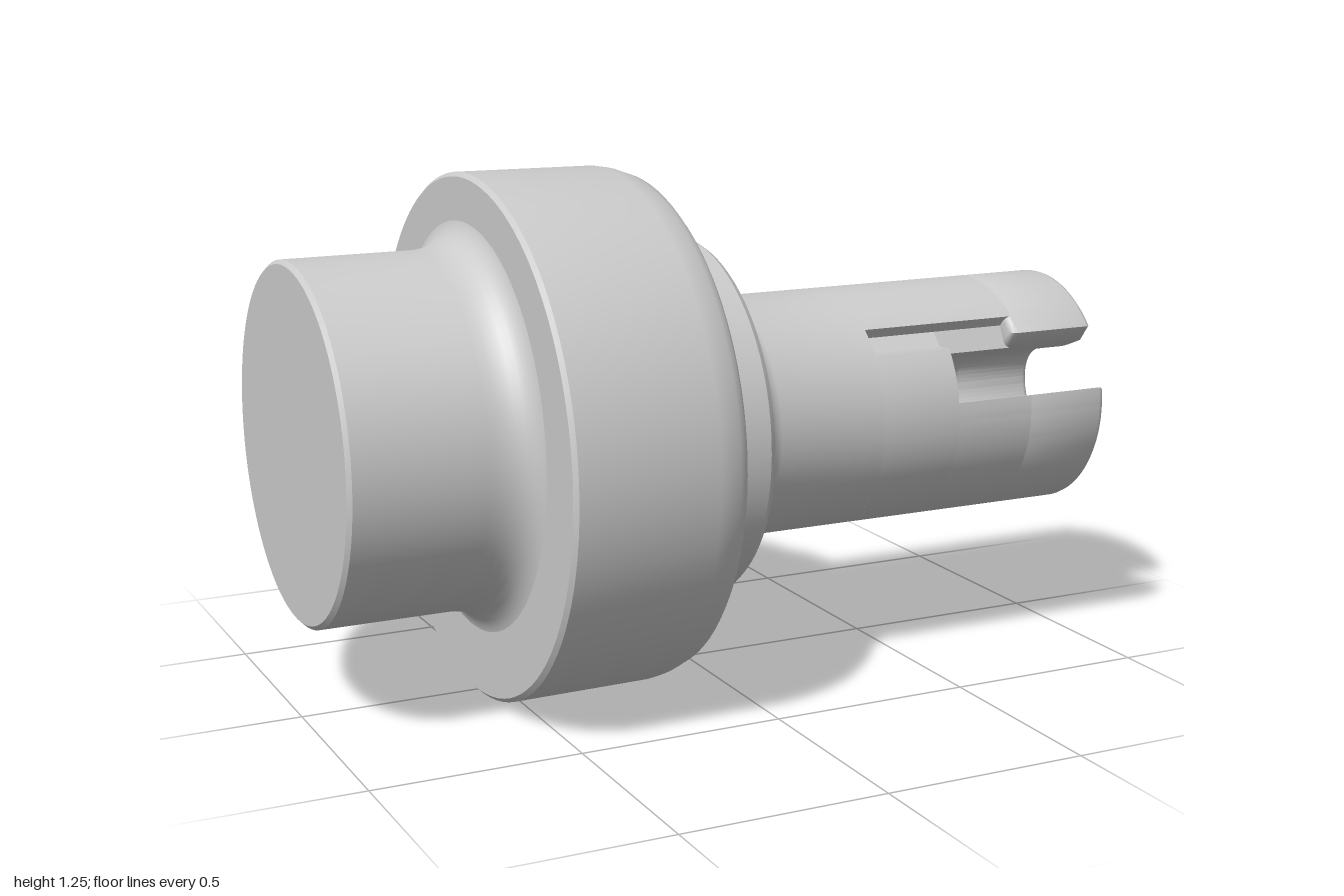
import * as THREE from 'three';
import { toCreasedNormals } from 'three/addons/utils/BufferGeometryUtils.js';

const material = new THREE.MeshStandardMaterial({ color: 0xcccccc });
const AXIS_Y = 0.628;   // height of the main axis
const SHAFT_Z = 0.06;   // the output shaft is offset forwards
const SHAFT_R = 0.297;

export function createModel() {
  const group = new THREE.Group();

  const add = (name, geometry, y, z) => {
    const mesh = new THREE.Mesh(toCreasedNormals(geometry, 0.6), material);
    mesh.name = name;
    mesh.position.set(0, y, z);
    group.add(mesh);
    return mesh;
  };

  // Turned part along x from [x, radius] pairs; stretch widens it in z
  const turned = (name, profile, y, z, stretch = 1) => {
    const points = profile.map(([x, r]) => new THREE.Vector2(r, x));
    const geometry = new THREE.LatheGeometry(points, 96);
    geometry.rotateZ(-Math.PI / 2);
    geometry.scale(1, 1, stretch);
    return add(name, geometry, y, z);
  };

  // Concave quarter fillet between two [x, radius] points, hugging the corner
  const fillet = ([x0, r0], [x1, r1], cornerX, cornerR, n = 8) =>
    new THREE.QuadraticBezierCurve(
      new THREE.Vector2(x0, r0), new THREE.Vector2(cornerX, cornerR), new THREE.Vector2(x1, r1)
    ).getPoints(n).map((p) => [p.x, p.y]);

  // Rear hub with its fillet into the flange
  turned('rearHub', [
    [-1, 0], [-1, 0.415], [-0.99, 0.425],
    ...fillet([-0.68, 0.425], [-0.565, 0.51], -0.575, 0.425), [-0.55, 0.51],
  ], 0.655, -0.003);

  // Large flange, left open at its front face
  turned('flange', [
    [-0.57, 0], [-0.57, 0.617], [-0.56, 0.627], [-0.22, 0.624],
    [-0.19, 0.619], [-0.165, 0.61], [-0.15, 0.604], [-0.14, 0.592],
  ], AXIS_Y, 0, 1.022);

  // Front face of the flange with a small drilled hole
  const holeU = -0.135, holeV = 0.494, holeR = 0.042, holeDepth = 0.1;
  const face = new THREE.Shape().absellipse(0, 0, 0.592 * 1.022, 0.592, 0, Math.PI * 2);
  face.holes.push(
    new THREE.Path().absarc(0, 0, 0.455, 0, Math.PI * 2, true),
    new THREE.Path().absarc(holeU, holeV, holeR, 0, Math.PI * 2, true));
  const faceGeometry = new THREE.ShapeGeometry(face, 48);
  faceGeometry.rotateY(Math.PI / 2).translate(-0.14, 0, 0);
  add('flangeFace', faceGeometry, AXIS_Y, 0);

  // Drilled hole: inward-facing wall and floor
  const drill = turned('drilledHole',
    [[-0.14, holeR], [-0.14 - holeDepth, holeR], [-0.14 - holeDepth, 0]],
    AXIS_Y + holeV, -holeU);
  drill.material = material.clone();
  drill.material.side = THREE.DoubleSide;

  // Collar in front of the flange
  turned('collar', [
    ...fillet([-0.14, 0.475], [-0.095, 0.449], -0.13, 0.45),
    [-0.005, 0.446], [0.01, 0.435], [0.015, 0.4], [0.015, 0],
  ], AXIS_Y, 0, 1.04);

  // Solid part of the shaft with its root fillet
  turned('shaftRoot', [
    ...fillet([0, 0.4], [0.08, SHAFT_R], 0.025, 0.305), [0.36, SHAFT_R], [0.36, 0],
  ], AXIS_Y, SHAFT_Z);

  // Shaft section: a disc cut between two rim points by an inner path
  const cutDisc = (rimStart, rimEnd, drawCut) => {
    const a0 = Math.atan2(rimStart[1], rimStart[0]);
    const a1 = Math.atan2(rimEnd[1], rimEnd[0]);
    const shape = new THREE.Shape();
    shape.absarc(0, 0, SHAFT_R, a0, a1 + Math.PI * 2, false);
    drawCut(shape);
    shape.closePath();
    return shape;
  };

  const shaftSection = (name, shape, x0, x1, bevel = 0) => {
    const geometry = new THREE.ExtrudeGeometry(shape, {
      depth: x1 - x0 - 2 * bevel, curveSegments: 64,
      bevelEnabled: bevel > 0, bevelThickness: bevel, bevelSize: bevel,
      bevelOffset: -bevel, bevelSegments: 3,
    });
    geometry.translate(0, 0, x0 + bevel).rotateY(Math.PI / 2);
    add(name, geometry, AXIS_Y, SHAFT_Z);
  };

  // Keyhole bore that the side slot opens into
  const keyhole = (shape) => {
    shape.lineTo(-0.195, 0.147);
    shape.splineThru([
      [-0.13, 0.122], [-0.06, 0.107], [0.005, 0.085], [0.04, 0.045], [0.045, -0.01],
      [0.02, -0.065], [-0.038, -0.092], [-0.095, -0.07], [-0.122, -0.015],
    ].map(([u, v]) => new THREE.Vector2(u, v)));
    shape.lineTo(-0.145, 0.002);
  };

  const slotLower = [-0.294, 0.045], slotUpper = [-0.225, 0.187];
  const notchLower = [-0.243, 0.172], notchUpper = [-0.193, 0.227];

  // Shallow notch, then notch and slot together, then the slot to the end
  shaftSection('shaftNotched', cutDisc(notchLower, notchUpper, (s) => {
    s.lineTo(-0.168, 0.2);
    s.lineTo(-0.2, 0.168);
  }), 0.36, 0.57);
  shaftSection('shaftSlotStart', cutDisc(slotLower, notchUpper, (s) => {
    s.lineTo(-0.168, 0.2);
    keyhole(s);
  }), 0.57, 0.78);
  shaftSection('shaftSlotEnd', cutDisc(slotLower, slotUpper, keyhole), 0.765, 1, 0.015);

  return group;
}
